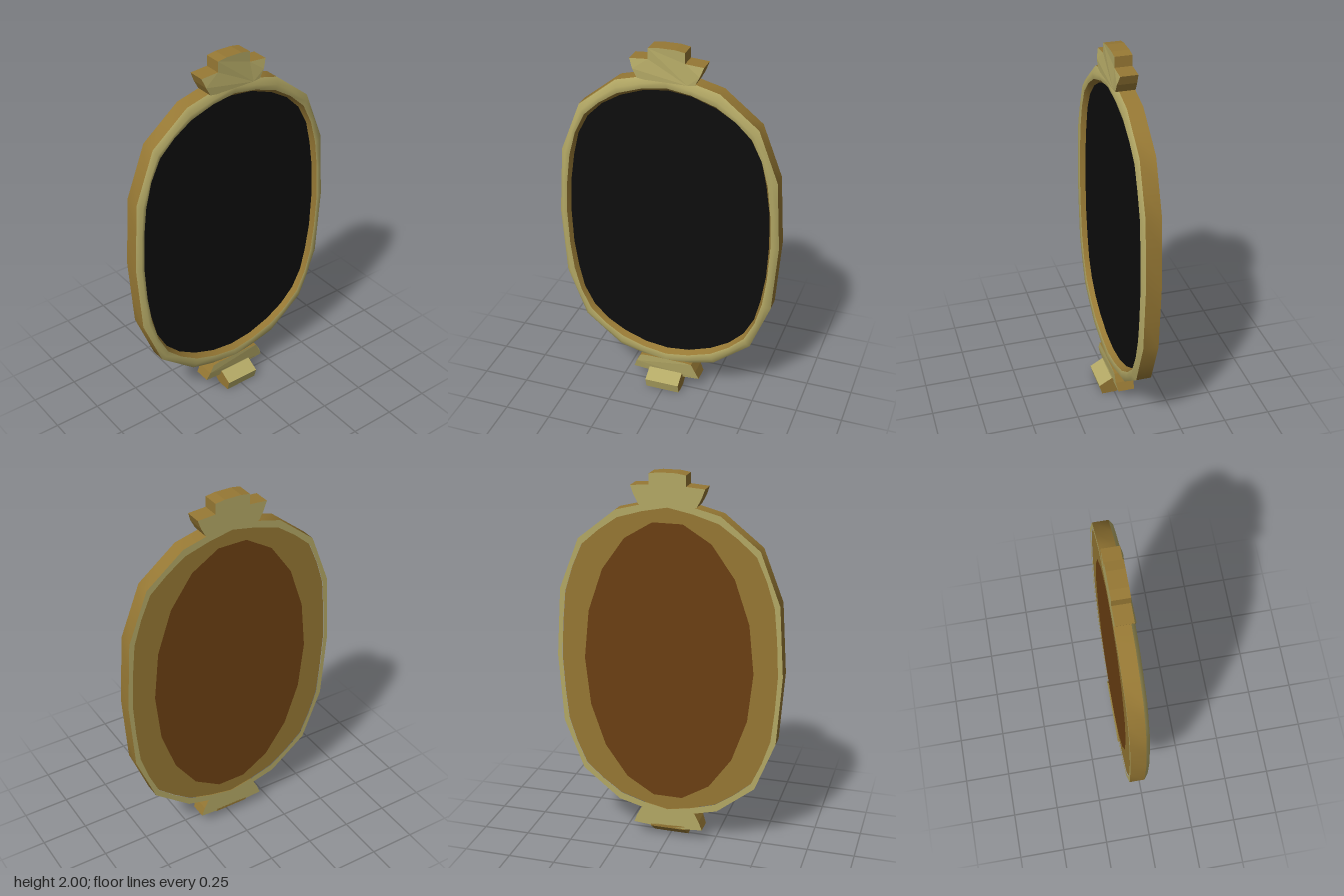
import * as THREE from 'three';

const mat = (name, color) => {
  const m = new THREE.MeshStandardMaterial({ color });
  m.name = name;
  return m;
};

// Mirror a first-quadrant run (from +x axis to +y axis) into a full counterclockwise loop
function fullLoop(q) {
  const n = q.length - 1;
  const loop = [];
  for (let i = 0; i < 4 * n; i++) {
    const side = Math.floor(i / n), k = i % n;
    const [x, y] = q[side % 2 ? n - k : k];
    loop.push([side === 1 || side === 2 ? -x : x, side >= 2 ? -y : y]);
  }
  return loop;
}

// Faceted outer outline and rounder inner opening, measured from the centre
const corners = [[0.6, 0], [0.575, 0.37], [0.47, 0.64], [0.27, 0.8], [0, 0.87]];
const outerQuarter = corners.flatMap((p, i) => {
  const q = corners[i + 1];
  return q ? [p, [(p[0] + q[0]) / 2, (p[1] + q[1]) / 2]] : [p];
});
const outer = fullLoop(outerQuarter);
const inner = fullLoop([[0.545, 0], [0.537, 0.19], [0.515, 0.34], [0.485, 0.47], [0.43, 0.575],
  [0.35, 0.655], [0.25, 0.715], [0.125, 0.76], [0, 0.775]]);

// A loop part way (t) from the outer to the inner outline, at depth z
const ring = (t, z) => outer.map(([x, y], i) =>
  [x + (inner[i][0] - x) * t, y + (inner[i][1] - y) * t, z]);

// Join consecutive rings with a smooth band
function band(rings) {
  const n = rings[0].length, index = [];
  for (let r = 0; r < rings.length - 1; r++) {
    for (let i = 0; i < n; i++) {
      const j = (i + 1) % n;
      const a = r * n + i, b = r * n + j, c = (r + 1) * n + j, d = (r + 1) * n + i;
      index.push(a, b, c, a, c, d);
    }
  }
  const g = new THREE.BufferGeometry();
  g.setAttribute('position', new THREE.Float32BufferAttribute(rings.flat(2), 3));
  g.setIndex(index);
  g.computeVertexNormals();
  return g;
}

const toShape = (pts) => new THREE.Shape(pts.map(([x, y]) => new THREE.Vector2(x, y)));

export function createModel() {
  const pale = mat('paleGold', 0xb3a865);
  const gold = mat('deepGold', 0x967834);
  const brown = mat('brownBacking', 0x6c4013);
  const black = mat('blackGlass', 0x0d0d0d);

  const model = new THREE.Group();
  model.name = 'wallMirror';
  const body = new THREE.Group();
  body.name = 'body';
  body.position.y = 1;
  model.add(body);
  const add = (name, geometry, material) => {
    const mesh = new THREE.Mesh(geometry, material);
    mesh.name = name;
    body.add(mesh);
    return mesh;
  };

  // Frame: outer wall, bevelled front, inner lip and back rim
  add('frameSide', band([ring(0, -0.085), ring(0, -0.005)]), gold);
  add('frameFront', band([ring(0, -0.005), ring(0.4, 0.015), ring(0.76, 0.008)]), pale);
  add('innerLip', band([ring(0.76, 0.008), ring(1, -0.02)]), gold);
  add('backRim', band([ring(0.45, -0.085), ring(0, -0.085)]), pale);

  // Glass and the two-tone back
  add('glass', new THREE.ShapeGeometry(toShape(inner)), black).position.z = -0.02;
  const back = add('backPanel', new THREE.ShapeGeometry(toShape(ring(0.45, 0))), gold);
  back.rotation.y = Math.PI;
  back.position.z = -0.081;
  const oval = add('backOval', new THREE.CircleGeometry(1, 18), brown);
  oval.scale.set(0.45, 0.76, 1);
  oval.rotation.y = Math.PI;
  oval.position.z = -0.084;

  // Fan-shaped crests, with the outermost step set slightly back
  function crest(half, sign) {
    const right = half.map(([x, y]) => [x, y * sign]);
    const left = right.map(([x, y]) => [-x, y]).reverse();
    const g = new THREE.ExtrudeGeometry(toShape([...right, ...left]),
      { depth: 0.1, bevelEnabled: false });
    g.translate(0, 0, -0.085);
    const p = g.attributes.position;
    for (let i = 0; i < p.count; i++) {
      if (p.getZ(i) > 0 && Math.abs(p.getY(i)) > 0.92) p.setZ(i, 0.004);
    }
    g.computeVertexNormals();
    return g;
  }
  const fan = [[0.11, 0.83], [0.148, 0.835], [0.172, 0.88], [0.19, 0.928], [0.095, 0.935]];
  add('topCrest', crest([...fan, [0.094, 0.99], [0.045, 0.998]], 1), [pale, gold]);
  add('bottomCrest', crest(fan, -1), [pale, gold]);

  // Bottom tab curling forward; profiles are (z, y) swept across x
  function tabPiece(profile) {
    const g = new THREE.ExtrudeGeometry(toShape(profile.map(([z, y]) => [-z, y - 1])),
      { depth: 0.19, bevelEnabled: false });
    g.rotateY(Math.PI / 2);
    g.translate(-0.095, 0, 0);
    return g;
  }
  add('tabUnderside', tabPiece([[-0.085, 0.08], [-0.085, 0.06], [-0.01, 0], [0.07, 0],
    [0.004, 0.09], [-0.02, 0.09]]), gold);
  add('tabFront', tabPiece([[0.004, 0.09], [0.07, 0], [0.085, 0.055], [0.015, 0.095]]), [gold, pale]);

  return model;
}
